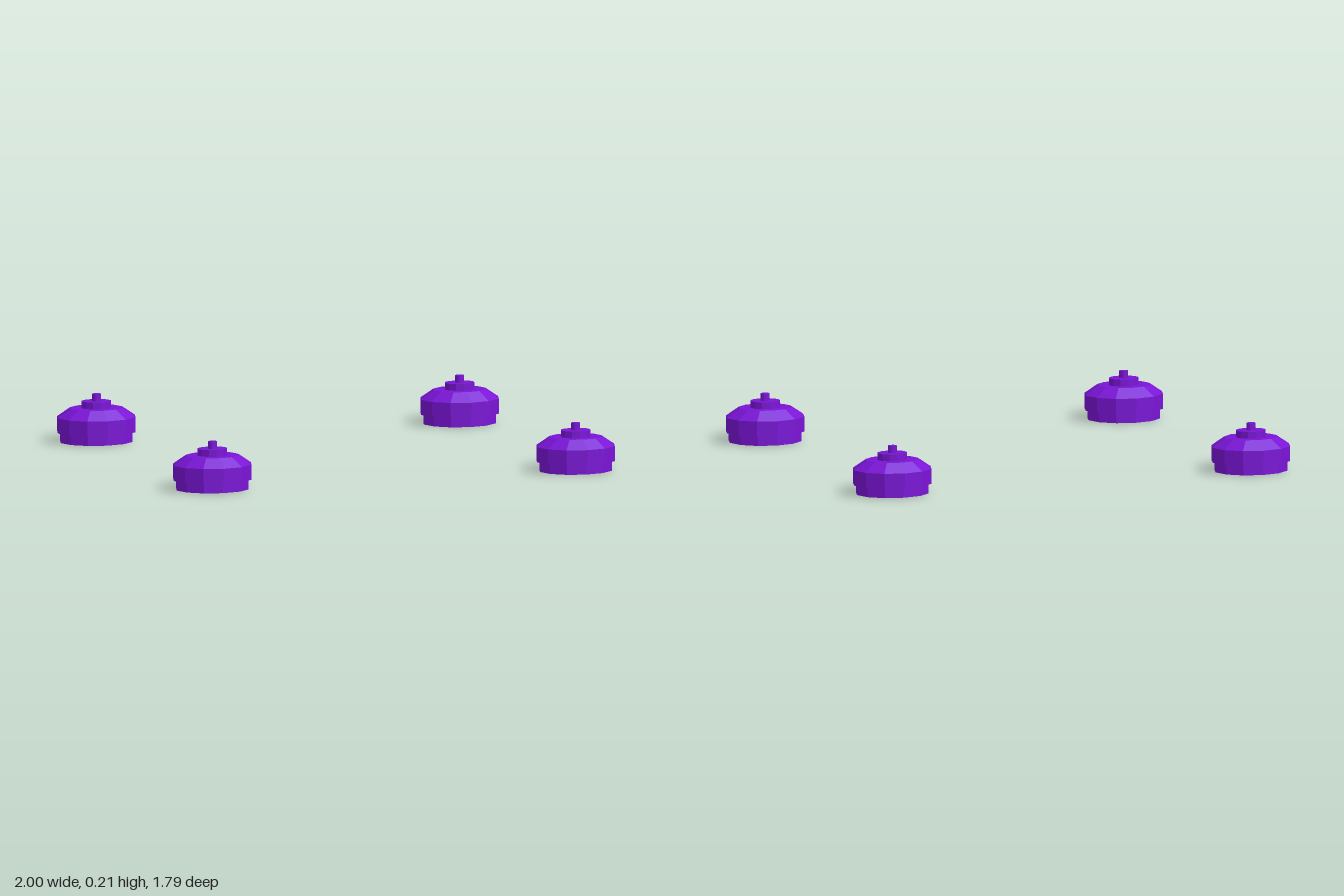
import * as THREE from 'three';

const SIDES = 12;
const DEPTH_RATIO = 0.86; // each foot is an ellipse, wider in x than in z

// name, bottom radius, top radius, bottom y, top y
const TIERS = [
  ['base', 0.162, 0.162, 0, 0.042],
  ['body', 0.175, 0.175, 0.042, 0.107],
  ['shoulder', 0.175, 0.117, 0.107, 0.146],
  ['collar', 0.066, 0.066, 0.146, 0.175],
  ['stud', 0.02, 0.02, 0.175, 0.206],
];

function createFoot(material) {
  const foot = new THREE.Group();
  for (const [name, bottom, top, y0, y1] of TIERS) {
    const geometry = new THREE.CylinderGeometry(top, bottom, y1 - y0, SIDES);
    geometry.scale(1, 1, DEPTH_RATIO);
    const mesh = new THREE.Mesh(geometry, material);
    mesh.name = name;
    mesh.position.y = (y0 + y1) / 2;
    foot.add(mesh);
  }
  return foot;
}

export function createModel() {
  const model = new THREE.Group();
  model.name = 'feet';
  const purple = new THREE.MeshStandardMaterial({ color: 0x7a14d6, flatShading: true });

  // One foot at each corner
  for (const [zName, z] of [['front', 0.745], ['back', -0.745]]) {
    for (const [xName, x] of [['Left', 0.825], ['Right', -0.825]]) {
      const foot = createFoot(purple);
      foot.name = `${zName}${xName}Foot`;
      foot.position.set(x, 0, z);
      model.add(foot);
    }
  }
  return model;
}
